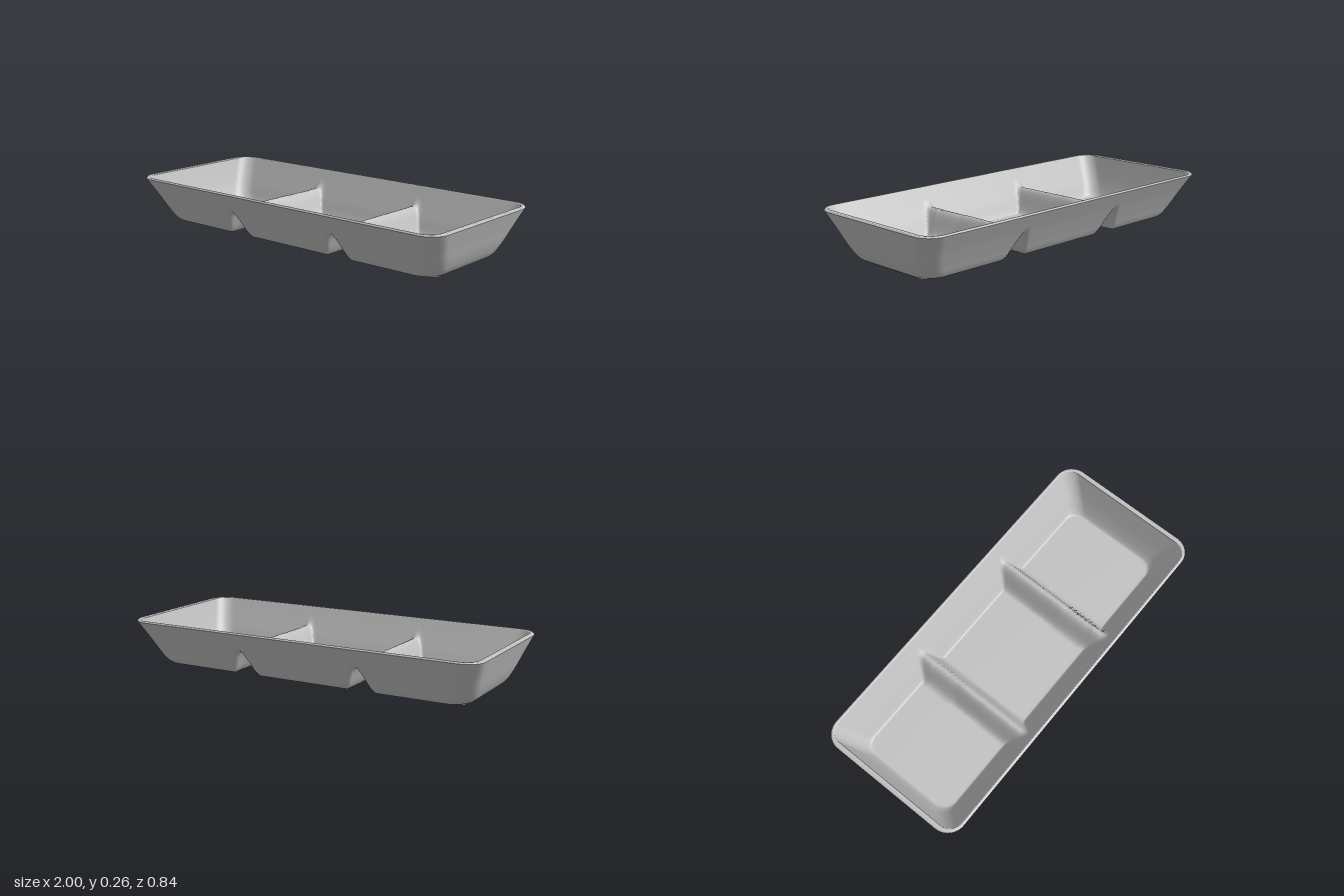
import * as THREE from 'three';

const DIVIDER_X = 0.337, DIVIDER_HALF = 0.088;

// Points around a rounded rectangle, with extra samples on the long sides.
function outline(hx, hz, radius) {
  const r = Math.min(radius, hz), pts = [];
  const corners = [[1, 1], [-1, 1], [-1, -1], [1, -1]];
  corners.forEach(([sx, sz], c) => {
    for (let i = 0; i <= 12; i++) {
      const a = (c + i / 12) * Math.PI / 2;
      pts.push([sx * (hx - r) + r * Math.cos(a), sz * (hz - r) + r * Math.sin(a)]);
    }
    const [nx, nz] = corners[(c + 1) % 4];
    const n = c % 2 === 0 ? 140 : 16;
    const [x0, z0] = pts[pts.length - 1];
    const a = (c + 1) * Math.PI / 2;
    const x1 = nx * (hx - r) + r * Math.cos(a), z1 = nz * (hz - r) + r * Math.sin(a);
    for (let i = 1; i < n; i++) pts.push([x0 + (x1 - x0) * i / n, z0 + (z1 - z0) * i / n]);
  });
  return pts;
}

// Raise the surface into a rounded ridge at each divider, blended into the walls.
function raise(x, y, floor, crest) {
  const d = Math.abs(Math.abs(x) - DIVIDER_X) / DIVIDER_HALF;
  if (d >= 1) return y;
  const bell = 0.5 + 0.5 * Math.cos(Math.PI * d);
  const p = floor + (crest - floor) * bell, k = 0.05 * bell + 1e-6;
  const h = Math.max(k - Math.abs(y - p), 0) / k;
  return Math.max(y, p) + h * h * k / 4;
}

// Skin a list of rings [halfX, y, halfZ, cornerRadius].
function skin(rings, floor, crest) {
  const pos = [], index = [];
  let n = 0;
  for (const [hx, y, hz, r] of rings) {
    const pts = outline(hx, hz, r);
    n = pts.length;
    for (const [x, z] of pts) pos.push(x, crest ? raise(x, y, floor, crest) : y, z);
  }
  for (let k = 0; k < rings.length - 1; k++) {
    for (let i = 0; i < n; i++) {
      const a = k * n + i, b = k * n + (i + 1) % n;
      index.push(a, b, a + n, b, b + n, a + n);
    }
  }
  const g = new THREE.BufferGeometry();
  g.setAttribute('position', new THREE.Float32BufferAttribute(pos, 3));
  g.setIndex(index);
  g.computeVertexNormals();
  return g;
}

// Rings from the floor centre up a wall given as [halfX, y, halfZ] points.
function bowlRings(wall, radius) {
  const rings = [];
  const [fx, fy, fz] = wall[0];
  for (let i = 0; i < 10; i++) {
    const t = i / 10;
    rings.push([fx - 0.25 * (1 - t), fy, fz * t, radius]);
  }
  const curve = new THREE.CatmullRomCurve3(wall.map(p => new THREE.Vector3(...p)), false, 'centripetal');
  for (const p of curve.getPoints(44)) rings.push([p.x, p.y, p.z, radius]);
  return rings;
}

function roundedRect(path, hx, hz, r) {
  path.moveTo(hx, hz - r);
  path.absarc(hx - r, hz - r, r, 0, Math.PI / 2);
  path.absarc(-hx + r, hz - r, r, Math.PI / 2, Math.PI);
  path.absarc(-hx + r, -hz + r, r, Math.PI, Math.PI * 1.5);
  path.absarc(hx - r, -hz + r, r, Math.PI * 1.5, Math.PI * 2);
  path.closePath();
  return path;
}

export function createModel() {
  const group = new THREE.Group();
  const ceramic = new THREE.MeshStandardMaterial({ color: 0xc0c0c0 });
  ceramic.name = 'light grey ceramic';
  const add = (name, geometry) => {
    const mesh = new THREE.Mesh(geometry, ceramic);
    mesh.name = name;
    group.add(mesh);
    return mesh;
  };

  // Inside of the three compartments
  const inner = bowlRings([
    [0.865, 0.035, 0.265], [0.88, 0.037, 0.277], [0.893, 0.052, 0.288],
    [0.92, 0.11, 0.318], [0.945, 0.18, 0.357], [0.972, 0.262, 0.402],
  ], 0.075);
  add('compartments', skin(inner, 0.035, 0.17));

  // Underside, with open notches between the compartments
  const outer = bowlRings([
    [0.865, 0.015, 0.262], [0.888, 0.021, 0.28], [0.908, 0.04, 0.295],
    [0.935, 0.09, 0.322], [0.966, 0.17, 0.366], [1, 0.258, 0.418],
  ], 0.1);
  add('outerShell', skin(outer.reverse(), 0.015, 0.15));

  // Flat rim with a small outer bevel
  add('rim', skin([[0.972, 0.262, 0.402, 0.075], [0.976, 0.265, 0.405, 0.08], [0.993, 0.265, 0.412, 0.095], [1, 0.258, 0.418, 0.1]]));

  // Raised foot ring below each compartment
  for (const [name, x, hx] of [['rightFoot', -0.67, 0.18], ['middleFoot', 0, 0.2], ['leftFoot', 0.67, 0.18]]) {
    const shape = roundedRect(new THREE.Shape(), hx, 0.205, 0.035);
    shape.holes.push(roundedRect(new THREE.Path(), hx - 0.024, 0.181, 0.02));
    const g = new THREE.ExtrudeGeometry(shape, { depth: 0.018, bevelEnabled: false, curveSegments: 8 });
    g.rotateX(-Math.PI / 2);
    add(name, g).position.x = x;
  }
  return group;
}
